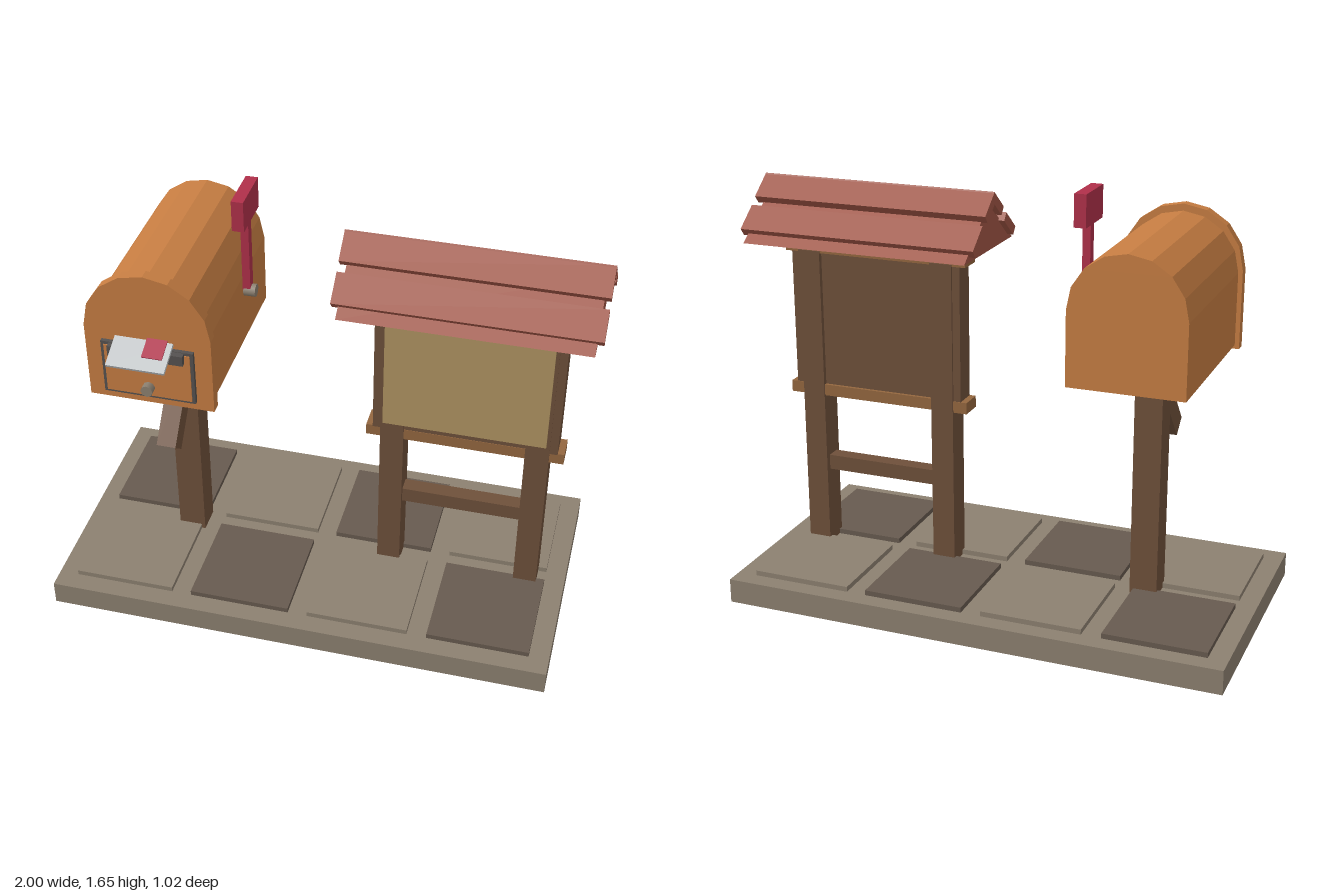
import * as THREE from 'three';

const mat = (name, color) => {
  const m = new THREE.MeshStandardMaterial({ color });
  m.name = name;
  return m;
};

export function createModel() {
  const stone = mat('stone', 0x8c8070);
  const darkStone = mat('darkStone', 0x675a4f);
  const wood = mat('wood', 0x6e503a);
  const lightWood = mat('lightWood', 0x94673f);
  const orange = mat('orangePaint', 0xc67d42);
  const metal = mat('darkMetal', 0x555250);
  const paper = mat('paper', 0xc4c8ca);
  const red = mat('flagRed', 0xb0304a);
  const shingle = mat('roofRed', 0xa05544);
  const cork = mat('cork', 0xb09462);

  const model = new THREE.Group();
  const add = (name, geo, material, parent = model) => {
    const mesh = new THREE.Mesh(geo, material);
    mesh.name = name;
    parent.add(mesh);
    return mesh;
  };
  // Box given by its extents on each axis
  const box = (name, material, [x0, x1], [y0, y1], [z0, z1], parent) => {
    const mesh = add(name, new THREE.BoxGeometry(x1 - x0, y1 - y0, z1 - z0), material, parent);
    mesh.position.set((x0 + x1) / 2, (y0 + y1) / 2, (z0 + z1) / 2);
    return mesh;
  };
  const group = (name) => {
    const g = new THREE.Group();
    g.name = name;
    model.add(g);
    return g;
  };

  // Paved base with a checkerboard of slabs
  const base = group('base');
  box('plinth', stone, [-1, 0.955], [0, 0.095], [-0.51, 0.51], base);
  for (let c = 0; c < 4; c++) {
    for (let r = 0; r < 2; r++) {
      const x = -0.925 + c * 0.47, z = r ? 0.03 : -0.44;
      box('slab', (c + r) % 2 ? stone : darkStone, [x, x + 0.393], [0.09, 0.115], [z, z + 0.405], base);
    }
  }

  // Mailbox post and slanted brace
  const mailbox = group('mailbox');
  const cx = -0.571;
  box('mailboxPost', wood, [cx - 0.053, cx + 0.053], [0.095, 1.0], [-0.053, 0.053], mailbox);
  const brace = add('brace', new THREE.BoxGeometry(0.075, 0.37, 0.08), wood, mailbox);
  brace.position.set(cx + 0.001, 0.816, 0.131);
  brace.rotation.x = -0.715;

  // Arched body and front rim
  const arch = (name, r, bottom, spring, z0, z1) => {
    const s = new THREE.Shape();
    s.moveTo(-r, bottom);
    s.lineTo(r, bottom);
    for (let i = 0; i <= 8; i++) {
      const a = (i / 8) * Math.PI;
      s.lineTo(r * Math.cos(a), spring + r * Math.sin(a));
    }
    const geo = new THREE.ExtrudeGeometry(s, { depth: z1 - z0, bevelEnabled: false });
    add(name, geo, orange, mailbox).position.set(cx, 0, z0);
  };
  arch('mailboxBody', 0.218, 1.0, 1.28, -0.355, 0.34);
  arch('mailboxRim', 0.235, 0.985, 1.29, 0.333, 0.375);

  // Door, letter slot and knob
  box('doorFrame', metal, [cx - 0.172, cx + 0.172], [1.02, 1.24], [0.37, 0.39], mailbox);
  box('doorPanel', orange, [cx - 0.16, cx + 0.16], [1.03, 1.228], [0.385, 0.394], mailbox);
  box('letterSlot', metal, [cx - 0.14, cx + 0.14], [1.198, 1.238], [0.375, 0.414], mailbox);
  const knob = add('doorKnob', new THREE.CylinderGeometry(0.023, 0.023, 0.035, 8), stone, mailbox);
  knob.rotation.x = Math.PI / 2;
  knob.position.set(cx, 1.068, 0.406);

  // Envelope with a red seal
  const envelope = add('envelope', new THREE.BoxGeometry(0.215, 0.012, 0.122), paper, mailbox);
  envelope.position.set(-0.572, 1.252, 0.455);
  envelope.rotation.x = 0.43;
  const seal = add('seal', new THREE.BoxGeometry(0.075, 0.004, 0.078), red, mailbox);
  seal.position.set(-0.508, 1.3, 0.47);
  seal.rotation.x = 0.43;

  // Signal flag
  box('flagArm', red, [-0.352, -0.322], [1.22, 1.53], [-0.096, -0.06], mailbox);
  box('flagHead', red, [-0.36, -0.315], [1.525, 1.646], [-0.174, 0.013], mailbox);
  const pivot = add('flagPivot', new THREE.CylinderGeometry(0.025, 0.025, 0.045, 8), stone, mailbox);
  pivot.rotation.z = Math.PI / 2;
  pivot.position.set(-0.327, 1.22, -0.079);

  // Notice board: posts, rails, panel and cork
  const board = group('noticeBoard');
  const bx = 0.525;
  for (const s of [-1, 1]) {
    const px = bx + s * 0.275, ex = bx + s * 0.332;
    box('boardPost', wood, [px - 0.045, px + 0.045], [0.095, 1.31], [-0.053, 0.05], board);
    box('frameSide', wood, [ex - 0.018, ex + 0.018], [0.765, 1.31], [-0.045, 0.045], board);
  }
  box('crossRail', wood, [0.29, 0.76], [0.405, 0.465], [-0.03, 0.03], board);
  box('backPanel', wood, [0.2, 0.85], [0.765, 1.31], [-0.035, 0.043], board);
  box('corkSheet', cork, [0.215, 0.832], [0.8, 1.277], [0.042, 0.06], board);
  box('lowerBeam', lightWood, [0.15, 0.9], [0.725, 0.77], [-0.048, 0.045], board);
  box('upperBeam', lightWood, [0.15, 0.9], [1.302, 1.347], [-0.048, 0.045], board);

  // Gabled roof core with two planks on each slope
  const roof = group('roof');
  const gable = new THREE.Shape([[-0.235, 1.365], [0.235, 1.365], [0, 1.542]].map((p) => new THREE.Vector2(...p)));
  const core = add('roofCore', new THREE.ExtrudeGeometry(gable, { depth: 0.9, bevelEnabled: false }), shingle, roof);
  core.rotation.y = Math.PI / 2;
  core.position.x = 0.075;
  for (const s of [-1, 1]) {
    for (const [y, z] of [[1.435, 0.153], [1.536, 0.034]]) {
      const plank = add('roofPlank', new THREE.BoxGeometry(0.948, 0.036, 0.118), shingle, roof);
      plank.position.set(bx, y, s * z);
      plank.rotation.x = s * 0.67;
    }
  }
  return model;
}
